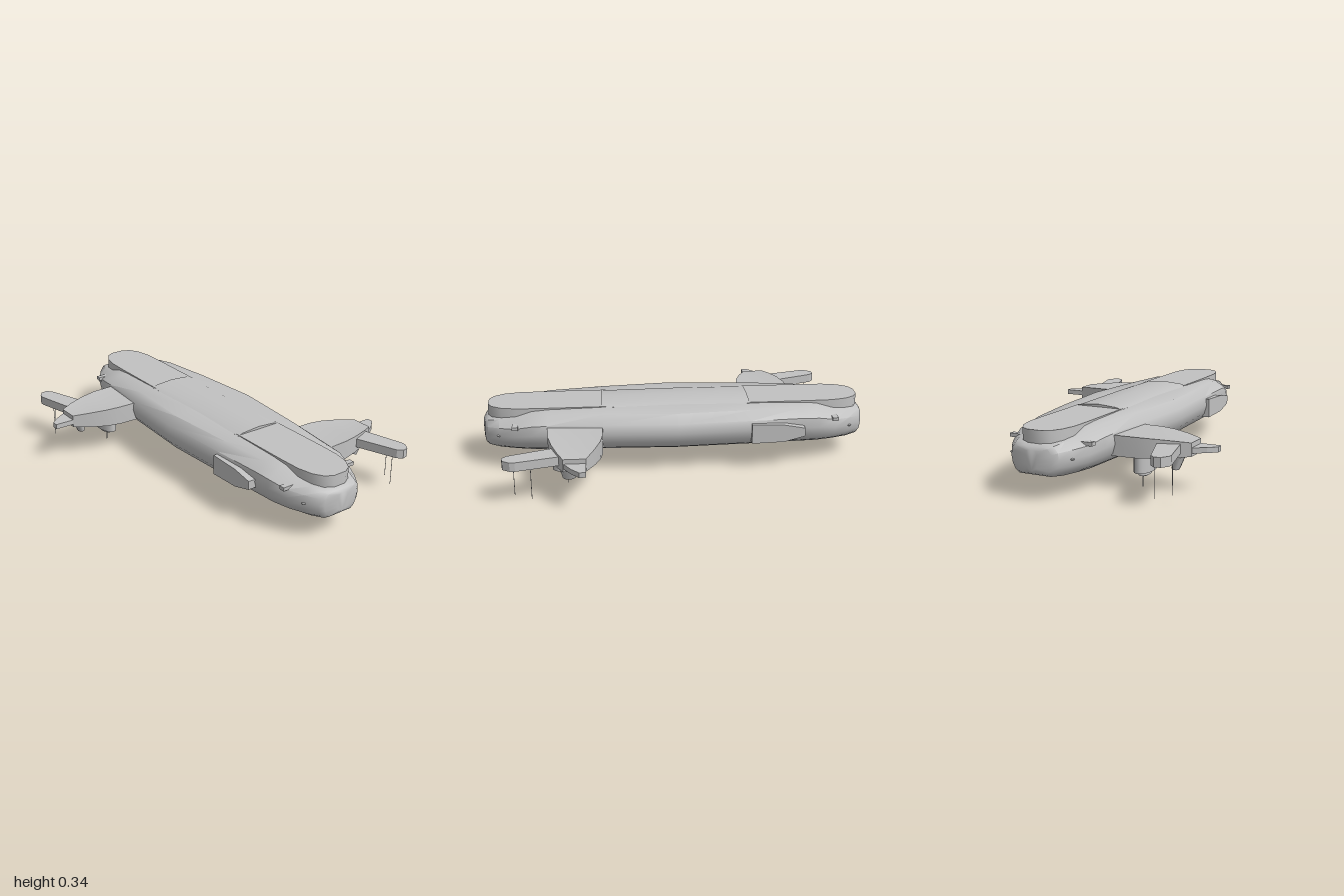
import * as THREE from 'three';
import { toCreasedNormals } from 'three/addons/utils/BufferGeometryUtils.js';

const grey = new THREE.MeshStandardMaterial({ color: 0xc1c1c1 });
grey.name = 'hull grey';

function add(parent, name, geometry, x = 0, y = 0, z = 0) {
  const mesh = new THREE.Mesh(geometry, grey);
  mesh.name = name;
  mesh.position.set(x, y, z);
  parent.add(mesh);
  return mesh;
}

// Plan outline of [x, z] points raised from y0 to y1
function plan(points, y0, y1) {
  const shape = new THREE.Shape(points.map(([x, z]) => new THREE.Vector2(x, -z)));
  const g = new THREE.ExtrudeGeometry(shape, { depth: y1 - y0, bevelEnabled: false });
  return g.rotateX(-Math.PI / 2).translate(0, y0, 0);
}

// Closed cross-sections joined along z, with flat end caps
function loft(rings) {
  const n = rings[0].length, index = [], last = (rings.length - 1) * n;
  for (let r = 0; r < rings.length - 1; r++) {
    for (let i = 0; i < n; i++) {
      const a = r * n + i, b = r * n + (i + 1) % n;
      index.push(a, b, a + n, b, b + n, a + n);
    }
  }
  for (let i = 1; i < n - 1; i++) {
    index.push(0, i + 1, i, last, last + i, last + i + 1);
  }
  const g = new THREE.BufferGeometry();
  g.setAttribute('position', new THREE.Float32BufferAttribute(rings.flat(2), 3));
  g.setIndex(index);
  return toCreasedNormals(g, 0.7);
}

// Hull section: half width, shoulder half width, bottom and top heights
function hullRing([z, w, s, bottom, top]) {
  const h = top - bottom;
  const half = [[0, 0], [0.66 * w, 0], [0.84 * w, 0.12], [0.95 * w, 0.3],
    [w, 0.52], [0.97 * w, 0.76], [s, 0.96], [0.42 * w, 1], [0, 1]];
  const right = half.map(([x, t]) => [x, bottom + t * h, z]);
  const left = right.slice(1, -1).reverse().map(([x, y]) => [-x, y, z]);
  return [...right, ...left];
}

function buildHull(group) {
  const front = [
    [0, 0.285, 0.235, 0.11, 0.322], [0.38, 0.262, 0.208, 0.11, 0.32],
    [0.66, 0.241, 0.178, 0.11, 0.316], [0.74, 0.234, 0.16, 0.11, 0.31],
    [0.83, 0.205, 0.14, 0.11, 0.282], [0.91, 0.165, 0.12, 0.11, 0.272],
    [0.97, 0.125, 0.1, 0.115, 0.262], [0.988, 0.1, 0.08, 0.125, 0.25],
    [1, 0.03, 0.025, 0.14, 0.235],
  ];
  const back = front.slice(1).reverse().map(([z, ...rest]) => [-z, ...rest]);
  add(group, 'hull', loft([...back, ...front].map(hullRing)));

  // Slightly raised middle of the roof
  const crown = [-0.385, 0, 0.385].map((z) => {
    const lift = z === 0 ? 0.003 : 0;
    return [[0.13, 0.3], [0.13, 0.319], [0.1, 0.328 + lift], [0, 0.336 + lift],
      [-0.1, 0.328 + lift], [-0.13, 0.319], [-0.13, 0.3]].map(([x, y]) => [x, y, z]);
  });
  add(group, 'roofCrown', loft(crown));
}

// Everything found at one end; the other end is the same, turned half round
function buildEnd() {
  const end = new THREE.Group();

  // Rounded roof deck overhanging the nose
  const side = [[0.125, 0.36], [0.125, 0.7], [0.122, 0.82], [0.105, 0.9], [0.075, 0.95], [0.035, 0.972]];
  const deck = [...side, ...side.slice().reverse().map(([x, z]) => [-x, z])];
  add(end, 'roofDeck', toCreasedNormals(plan(deck, 0.25, 0.322), 0.6));

  // Wing, thinner towards its tip
  const wing = plan([[0.2, 0.38], [0.35, 0.383], [0.42, 0.395], [0.5, 0.423], [0.59, 0.465],
    [0.59, 0.575], [0.52, 0.607], [0.44, 0.635], [0.35, 0.655], [0.2, 0.662]], -0.5, 0.5);
  const p = wing.attributes.position;
  for (let i = 0; i < p.count; i++) {
    const t = Math.max(0, (p.getX(i) - 0.3) / 0.29);
    p.setY(i, 0.209 + p.getY(i) * (0.1 - 0.035 * t * t));
  }
  wing.computeVertexNormals();
  add(end, 'wing', toCreasedNormals(wing, 0.5));
  add(end, 'wingTip', plan([[0.585, 0.465], [0.69, 0.465], [0.69, 0.498], [0.65, 0.535], [0.585, 0.575]], 0.192, 0.218));

  // Swept blade with two thin aerials under it
  add(end, 'blade', plan([[0.43, 0.6], [0.54, 0.58], [0.595, 0.8], [0.595, 0.825], [0.57, 0.862],
    [0.54, 0.867], [0.515, 0.845]], 0.19, 0.236));
  for (const [x, z] of [[0.567, 0.73], [0.518, 0.815]]) {
    add(end, 'aerial', new THREE.CylinderGeometry(0.0015, 0.0015, 0.165, 6), x, 0.113, z);
    add(end, 'aerialBase', new THREE.CylinderGeometry(0.008, 0.008, 0.006, 10), x, 0.189, z);
  }

  // Stepped oval turret under the wing
  for (const [radius, top, bottom] of [[0.043, 0.17, 0.08], [0.025, 0.085, 0.062], [0.012, 0.065, 0.054]]) {
    const step = add(end, 'turret', new THREE.CylinderGeometry(radius, radius, top - bottom, 24),
      0.343, (top + bottom) / 2, 0.55);
    step.scale.z = 2;
  }
  for (const x of [0.331, 0.338]) {
    add(end, 'turretNeedle', new THREE.CylinderGeometry(0.0015, 0.0015, 0.06, 6), x, 0.03, 0.56);
  }

  // Small pod near the wing tip, leaning inwards
  const pod = add(end, 'pod', new THREE.CylinderGeometry(0.026, 0.018, 0.08, 8), 0.513, 0.145, 0.55);
  pod.rotation.z = -0.3;
  pod.scale.z = 1.8;

  // Tapered panel on the flank opposite the wing
  const panel = new THREE.Shape([[0.38, 0.153], [0.38, 0.256], [0.55, 0.25], [0.655, 0.23], [0.655, 0.186], [0.55, 0.158]]
    .map(([z, y]) => new THREE.Vector2(z, y)));
  const panelGeo = new THREE.ExtrudeGeometry(panel, { depth: 0.055, bevelEnabled: false });
  add(end, 'flankPanel', panelGeo.rotateY(-Math.PI / 2), -0.222, 0, 0);

  // Nose fittings on both sides
  for (const s of [-1, 1]) {
    add(end, 'noseStub', new THREE.BoxGeometry(0.085, 0.018, 0.03), s * 0.178, 0.25, 0.825);
    const lamp = add(end, 'noseLamp', new THREE.SphereGeometry(0.011, 10, 8), s * 0.159, 0.192, 0.912);
    lamp.scale.y = 0.5;
  }

  // Rows of studs along the belly
  for (let i = 0; i < 7; i++) {
    for (const x of [-0.12, 0.12]) {
      add(end, 'bellyStud', new THREE.CylinderGeometry(0.009, 0.009, 0.008, 8), x, 0.109, 0.05 + i * 0.1);
    }
  }
  return end;
}

export function createModel() {
  const model = new THREE.Group();
  model.name = 'ship';
  buildHull(model);
  const front = buildEnd();
  front.name = 'frontEnd';
  const back = buildEnd();
  back.name = 'backEnd';
  back.rotation.y = Math.PI;
  model.add(front, back);
  return model;
}
